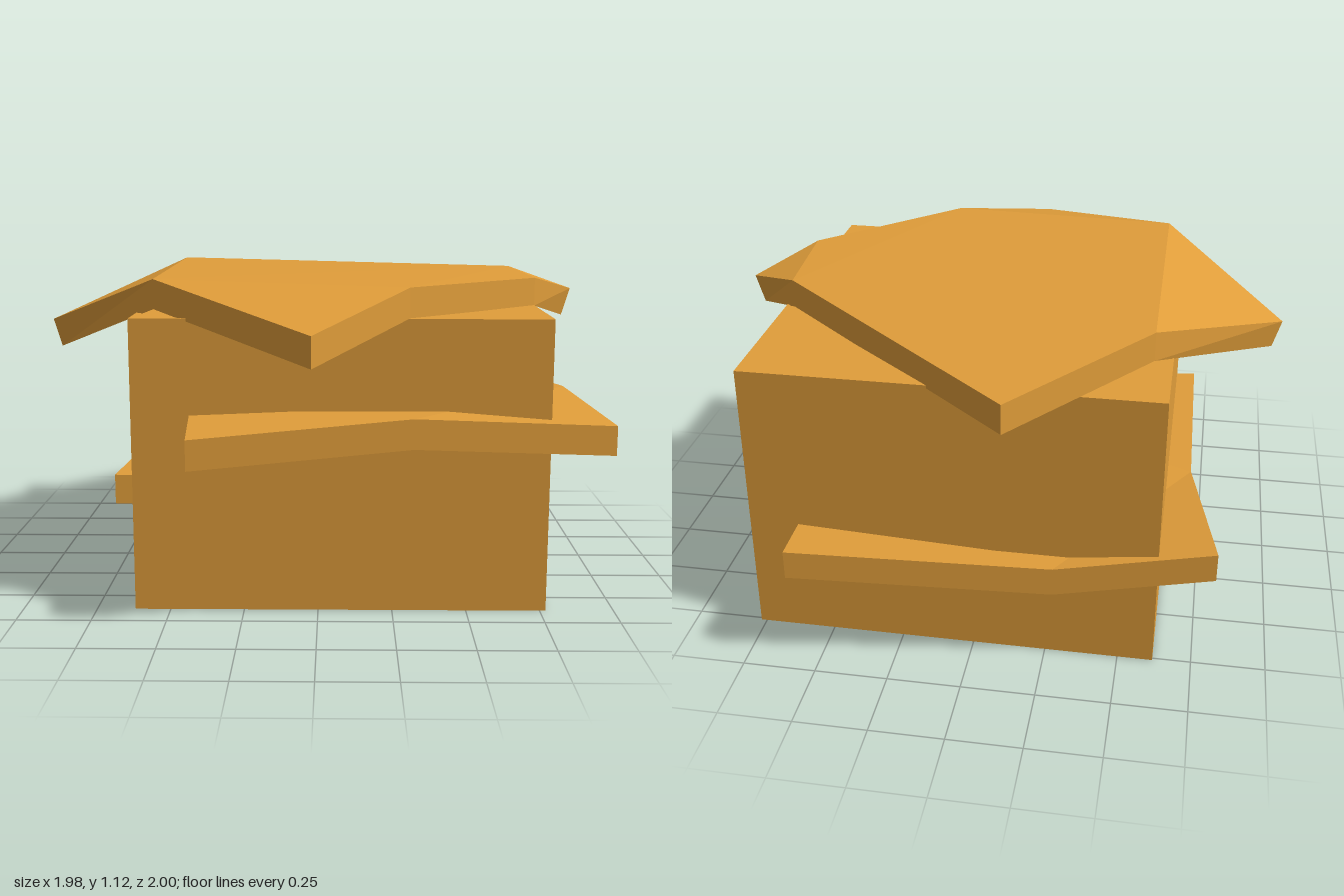
import * as THREE from 'three';

// Bent slab: top outline (counter-clockwise from above) with [x, y, z, bottom x shift],
// top faces as polygons of outline indices, bottom 0.1 lower.
function slab(name, outline, faces, material) {
  const t = 0.1;
  const top = outline.map(([x, y, z]) => [x, y, z]);
  const bottom = outline.map(([x, y, z, dx = 0]) => [x + dx, y - t, z]);
  const pos = [];
  const tri = (a, b, c) => pos.push(...a, ...b, ...c);
  for (const face of faces) {
    for (let i = 1; i < face.length - 1; i++) {
      const [a, b, c] = [face[0], face[i], face[i + 1]];
      tri(top[a], top[b], top[c]);
      tri(bottom[a], bottom[c], bottom[b]);
    }
  }
  // rim
  for (let i = 0; i < top.length; i++) {
    const j = (i + 1) % top.length;
    tri(bottom[i], bottom[j], top[j]);
    tri(bottom[i], top[j], top[i]);
  }
  const geo = new THREE.BufferGeometry();
  geo.setAttribute('position', new THREE.Float32BufferAttribute(pos, 3));
  geo.computeVertexNormals();
  const mesh = new THREE.Mesh(geo, material);
  mesh.name = name;
  return mesh;
}

export function createModel() {
  const group = new THREE.Group();
  group.name = 'stackedBlock';
  const golden = new THREE.MeshStandardMaterial({ color: 0xe09d3a });
  golden.name = 'golden';

  // main block
  const block = new THREE.Mesh(new THREE.BoxGeometry(1.39, 0.99, 1.395), golden);
  block.position.set(0.075, 0.495, -0.0625);
  block.name = 'block';
  group.add(block);

  // slab draped over the top, corners folded down
  group.add(slab('topSlab', [
    [-0.99, 0.925, 0.07, 0.03],
    [-0.55, 1.11, 0.53],
    [-0.015, 0.98, 1.0],
    [0.3, 1.092, 0.63],
    [0.77, 1.088, 0.18],
    [0.94, 1.03, -0.06, -0.03],
    [0.73, 1.1, -0.25],
    [-0.14, 1.07, -1.0],
    [-0.56, 1.115, -0.52],
  ], [[0, 1, 8], [1, 2, 3], [1, 3, 6, 8], [3, 4, 6], [4, 5, 6], [6, 7, 8]], golden));

  // middle slab, showing at the front and left sides
  group.add(slab('middleSlab', [
    [-0.41, 0.64, 0.89],
    [0.31, 0.685, 0.767],
    [0.985, 0.64, 0.645],
    [0.895, 0.685, 0.12],
    [0.74, 0.64, -0.74],
    [-0.5, 0.685, -0.4],
    [-0.435, 0.685, 0.5],
  ], [[0, 1, 6], [1, 2, 3], [1, 3, 5, 6], [3, 4, 5]], golden));

  // lower slab, showing at the back and right sides, sagging between its corners
  group.add(slab('lowerSlab', [
    [-0.81, 0.45, -0.757],
    [-0.705, 0.39, -0.14],
    [-0.69, 0.45, 0.56],
    [0.5, 0.39, 0.45],
    [0.62, 0.39, -0.5],
    [0.585, 0.45, -0.967],
    [-0.28, 0.39, -0.837],
  ], [[0, 1, 6], [1, 2, 3], [1, 3, 4, 6], [4, 5, 6]], golden));

  return group;
}
